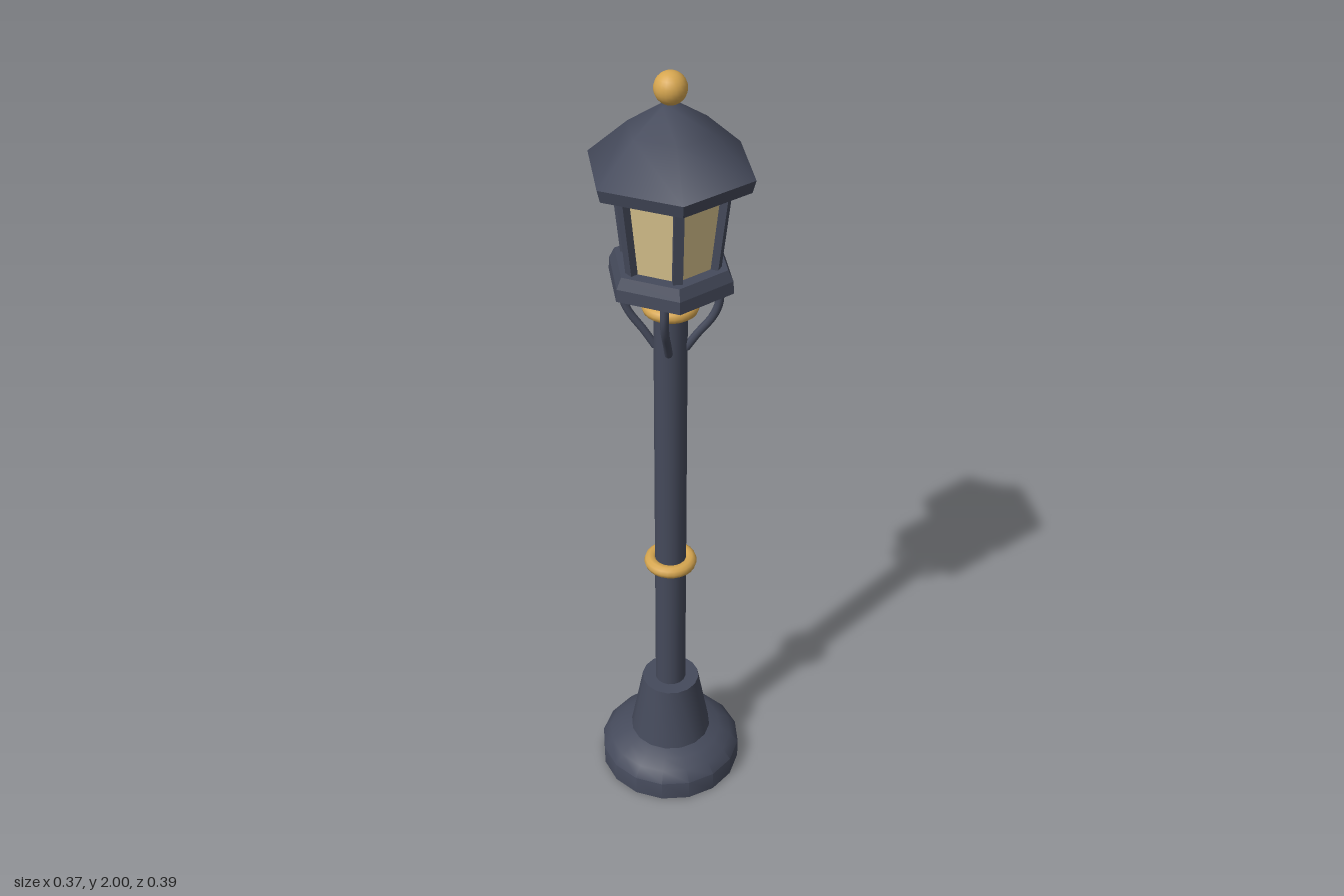
import * as THREE from 'three';
import { toCreasedNormals } from 'three/addons/utils/BufferGeometryUtils.js';

export function createModel() {
  const model = new THREE.Group();
  model.name = 'streetLamp';

  const iron = new THREE.MeshStandardMaterial({ color: 0x454a5b });
  iron.name = 'dark iron';
  const brass = new THREE.MeshStandardMaterial({ color: 0xd6a650 });
  brass.name = 'brass';
  const glass = new THREE.MeshStandardMaterial({ color: 0xd9c48e });
  glass.name = 'warm glass';

  const add = (name, geometry, material, y = 0, parent = model) => {
    const mesh = new THREE.Mesh(geometry, material);
    mesh.name = name;
    mesh.position.y = y;
    parent.add(mesh);
    return mesh;
  };
  const lathe = (points, sides, crease) => toCreasedNormals(
    new THREE.LatheGeometry(points.map(([r, y]) => new THREE.Vector2(r, y)), sides), crease);

  // Rounded foot with a tapered collar
  add('base', lathe([[0, 0], [0.187, 0], [0.187, 0.055], [0.165, 0.082], [0.135, 0.1],
    [0.107, 0.11], [0.075, 0.285], [0, 0.285]], 16, 0.7), iron);

  // Post and its brass rings
  add('post', new THREE.CylinderGeometry(0.04, 0.04, 1.237, 16), iron, 0.87);
  for (const y of [0.685, 1.435]) {
    const ring = add('ring', new THREE.TorusGeometry(0.05, 0.017, 10, 24), brass, y);
    ring.rotation.x = Math.PI / 2;
  }

  // Four curved brackets on the diagonals
  const bracketPath = new THREE.CatmullRomCurve3([
    [0.036, 1.325], [0.062, 1.365], [0.098, 1.415], [0.112, 1.455], [0.11, 1.51],
  ].map(([r, y]) => new THREE.Vector3(r, y, 0)));
  const bracketGeometry = new THREE.TubeGeometry(bracketPath, 16, 0.01, 8);
  for (let i = 0; i < 4; i++) {
    add('bracket', bracketGeometry, iron).rotation.y = Math.PI / 4 + i * Math.PI / 2;
  }

  // Hexagonal lantern
  const lantern = new THREE.Group();
  lantern.name = 'lantern';
  model.add(lantern);
  add('lanternFloor', lathe([[0, 1.5], [0.153, 1.5], [0.151, 1.53], [0.138, 1.556], [0, 1.556]],
    6, 0.3), iron, 0, lantern);
  add('panes', toCreasedNormals(new THREE.CylinderGeometry(0.129, 0.106, 0.21, 6, 1, true), 0.3),
    glass, 1.655, lantern);

  // Sloping corner bars
  const low = new THREE.Vector3(0, 1.545, 0.106);
  const high = new THREE.Vector3(0, 1.765, 0.131);
  const barGeometry = new THREE.BoxGeometry(0.022, low.distanceTo(high), 0.022);
  barGeometry.rotateX(Math.atan2(high.z - low.z, high.y - low.y));
  barGeometry.translate(0, (low.y + high.y) / 2, (low.z + high.z) / 2);
  for (let i = 0; i < 6; i++) {
    add('cornerBar', barGeometry, iron, 0, lantern).rotation.y = i * Math.PI / 3;
  }

  // Roof and finial
  add('roof', lathe([[0, 1.755], [0.189, 1.755], [0.197, 1.785], [0.1, 1.873],
    [0.022, 1.925], [0, 1.93]], 6, 0.8), iron, 0, lantern);
  add('finial', new THREE.SphereGeometry(0.037, 20, 14), brass, 1.963, lantern);

  return model;
}
